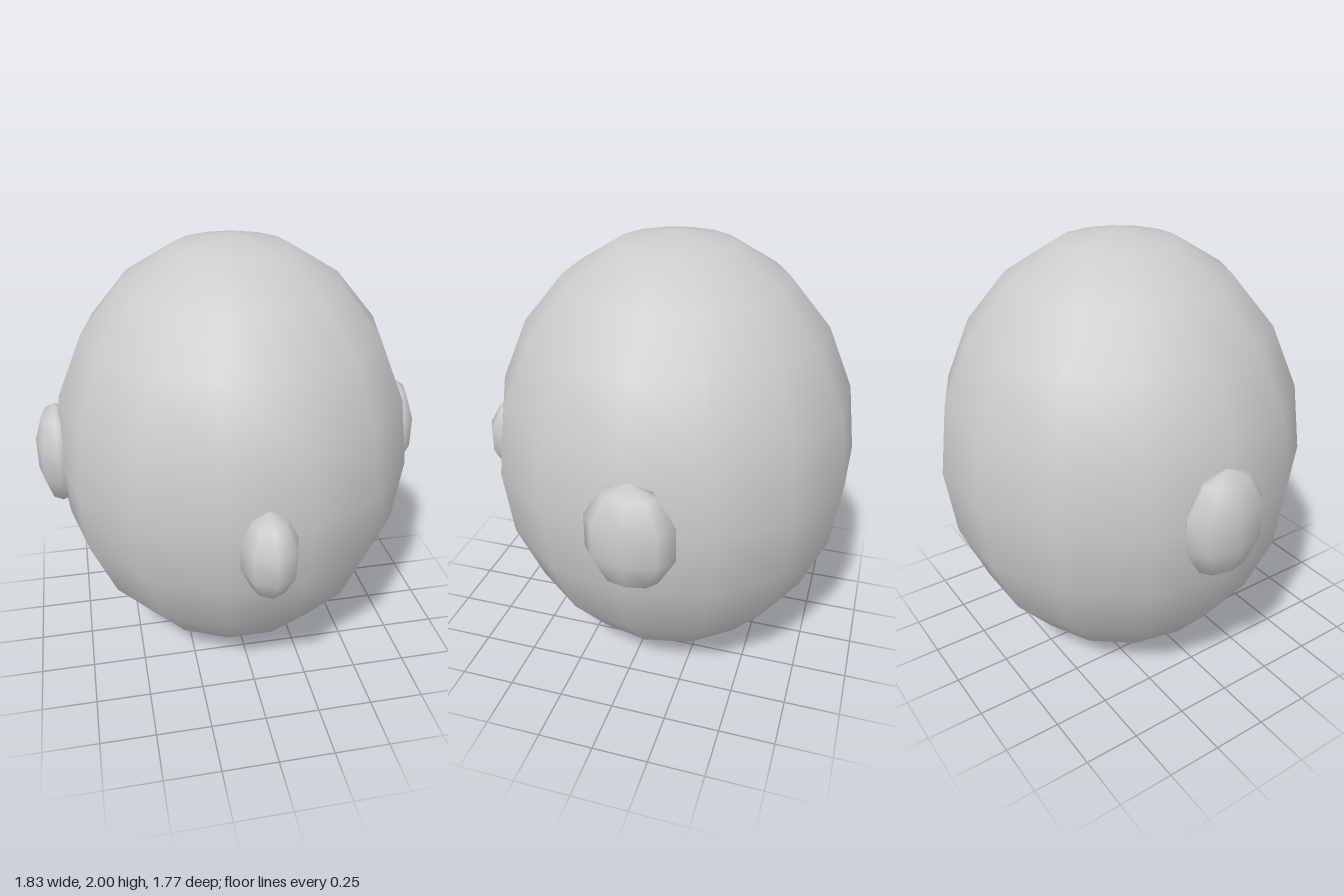
import * as THREE from 'three';

export function createModel() {
  const group = new THREE.Group();
  const material = new THREE.MeshStandardMaterial({ color: 0xcccccc });

  // Stretched low-segment sphere with smooth normals
  function ellipsoid(name, around, rings, radii, position) {
    const geometry = new THREE.SphereGeometry(1, around, rings);
    geometry.scale(...radii);
    const mesh = new THREE.Mesh(geometry, material);
    mesh.name = name;
    mesh.position.set(...position);
    group.add(mesh);
  }

  ellipsoid('head', 14, 10, [0.83, 1, 0.83], [0, 1, -0.077]);
  ellipsoid('nose', 8, 5, [0.126, 0.195, 0.158], [0, 0.906, 0.735]);

  // Ears, mirrored across the head
  for (const [name, side] of [['leftEar', 1], ['rightEar', -1]]) {
    ellipsoid(name, 8, 5, [0.105, 0.243, 0.198], [side * 0.817, 1.003, -0.126]);
  }
  return group;
}
